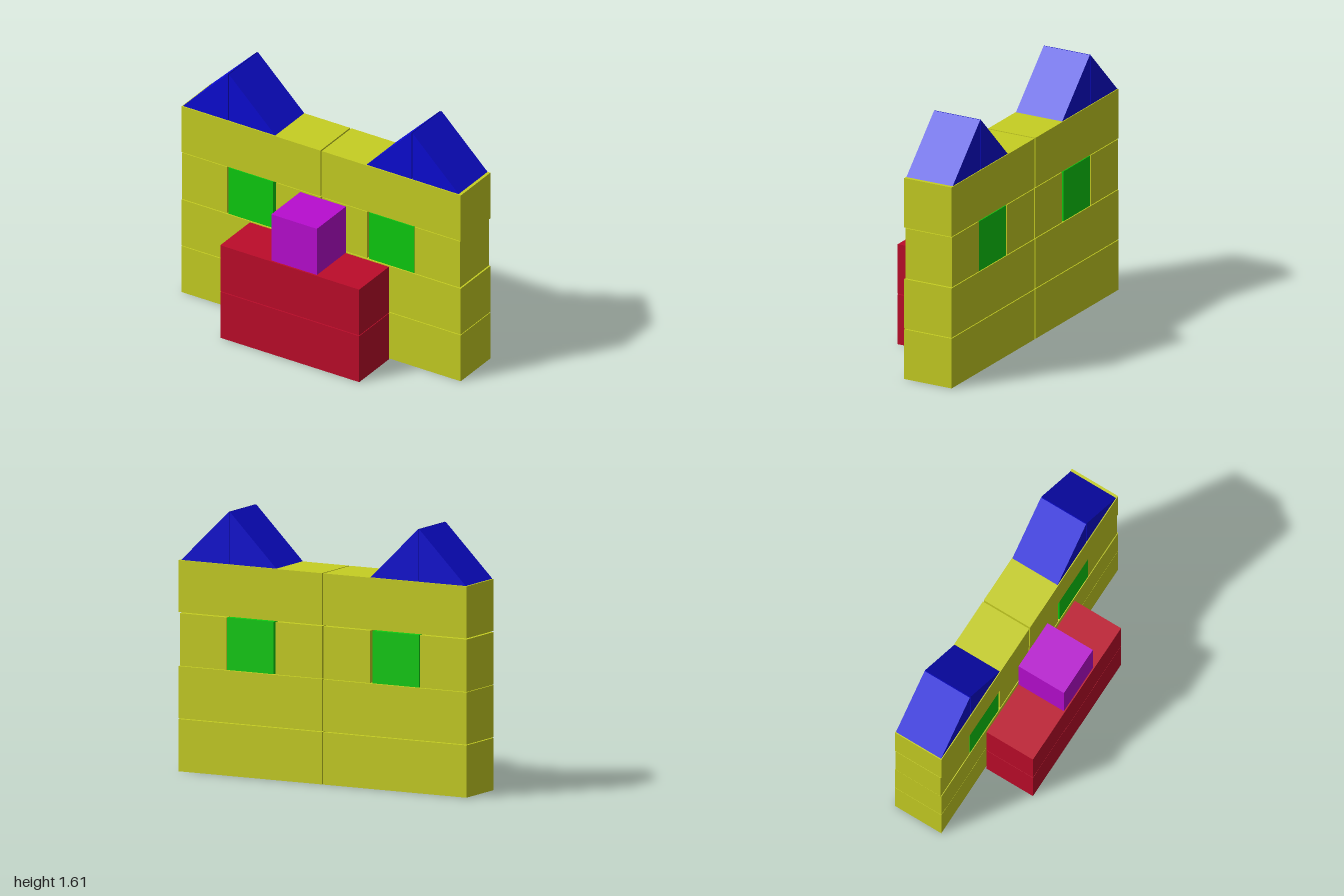
import * as THREE from 'three';

const material = (name, color) => {
  const m = new THREE.MeshStandardMaterial({ color });
  m.name = name;
  return m;
};

export function createModel() {
  const group = new THREE.Group();
  const yellow = material('yellow', 0xc6ce22);
  const red = material('red', 0xbc0c2a);
  const green = material('green', 0x0dcc10);
  const magenta = material('magenta', 0xb80dd0);
  const blue = material('blue', 0x0c0cd2);

  const add = (name, geometry, mat) => {
    const mesh = new THREE.Mesh(geometry, mat);
    mesh.name = name;
    group.add(mesh);
  };

  // Block given by its extents on each axis
  const block = (name, mat, [x0, x1], [y0, y1], [z0, z1]) => {
    const g = new THREE.BoxGeometry(x1 - x0, y1 - y0, z1 - z0);
    g.translate((x0 + x1) / 2, (y0 + y1) / 2, (z0 + z1) / 2);
    add(name, g, mat);
  };

  // Right-triangle roof block, upright at xPeak and sloping down to xEave
  const wedge = (name, xPeak, xEave) => {
    const shape = new THREE.Shape([
      new THREE.Vector2(xPeak, 1.291),
      new THREE.Vector2(xEave, 1.291),
      new THREE.Vector2(xPeak, 1.612),
    ]);
    const g = new THREE.ExtrudeGeometry(shape, { depth: 0.322, bevelEnabled: false });
    g.translate(0, 0, -0.332);
    add(name, g, blue);
  };

  const rows = [[0, 0.319], [0.324, 0.642], [0.645, 0.965], [0.972, 1.289]];
  const wallZ = [-0.335, -0.005];
  const middleZ = [-0.332, -0.009];

  // Long wall bricks, two per row
  for (const i of [0, 1, 3]) {
    block('wallBrickRight', yellow, [-1, -0.006], rows[i], wallZ);
    block('wallBrickLeft', yellow, [0.004, 1], rows[i], wallZ);
  }

  // Window row: short bricks and green windows
  for (const x of [[-1, -0.677], [-0.328, -0.006], [0.004, 0.327], [0.667, 0.992]])
    block('shortBrick', yellow, x, rows[2], middleZ);
  for (const x of [[-0.668, -0.346], [0.34, 0.663]])
    block('window', green, x, rows[2], middleZ);

  // Front porch bricks with a cube on top
  for (const i of [0, 1])
    block('porchBrick', red, [-0.504, 0.492], rows[i], [0.005, 0.335]);
  block('porchCube', magenta, [-0.143, 0.184], rows[2], [0.005, 0.328]);

  // Two peaked roofs, each a pair of wedges
  wedge('roofWedge', -0.67, -0.994);
  wedge('roofWedge', -0.664, -0.332);
  wedge('roofWedge', 0.645, 0.322);
  wedge('roofWedge', 0.651, 0.982);

  return group;
}
